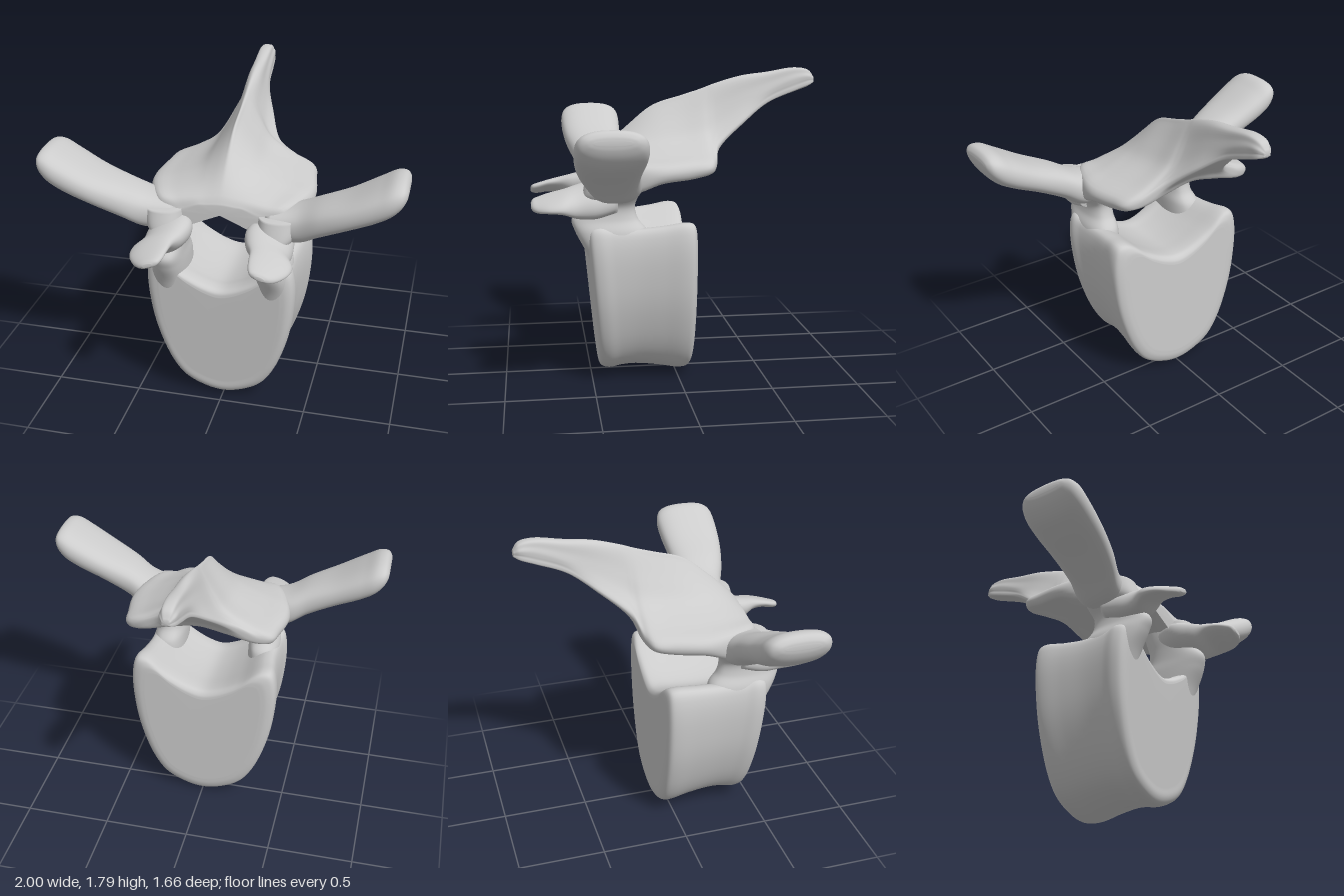
import * as THREE from 'three';

const material = new THREE.MeshStandardMaterial({ color: 0xcccccc });
const V = (x, y, z) => new THREE.Vector3(x, y, z);

// Smooth skin through a few closed rings of control points, capped at both ends.
function loft(name, rings, around = 48, along = 48) {
  const loops = rings.map((r) => new THREE.CatmullRomCurve3(r, true, 'centripetal'));
  const columns = [];
  for (let i = 0; i < around; i++) {
    const pts = loops.map((c) => c.getPoint(i / around));
    columns.push(new THREE.CatmullRomCurve3(pts, false, 'centripetal'));
  }
  const pos = [], index = [];
  for (let j = 0; j <= along; j++) {
    for (const c of columns) pos.push(...c.getPoint(j / along).toArray());
  }
  for (let j = 0; j < along; j++) {
    for (let i = 0; i < around; i++) {
      const n = (i + 1) % around;
      const a = j * around + i, b = j * around + n;
      index.push(a, b, a + around, b, b + around, a + around);
    }
  }
  // End caps
  for (const j of [0, along]) {
    const mid = V(0, 0, 0);
    for (const c of columns) mid.addScaledVector(c.getPoint(j / along), 1 / around);
    const centre = pos.length / 3;
    pos.push(mid.x, mid.y, mid.z);
    for (let i = 0; i < around; i++) {
      const a = j * around + i, b = j * around + ((i + 1) % around);
      if (j === 0) index.push(centre, b, a);
      else index.push(centre, a, b);
    }
  }
  // Turn the faces outwards, whichever way the rings run
  const P = (i) => V(pos[3 * i], pos[3 * i + 1], pos[3 * i + 2]);
  let volume = 0;
  for (let k = 0; k < index.length; k += 3) {
    volume += P(index[k]).dot(P(index[k + 1]).cross(P(index[k + 2])));
  }
  if (volume < 0) index.reverse();

  const geo = new THREE.BufferGeometry();
  geo.setAttribute('position', new THREE.Float32BufferAttribute(pos, 3));
  geo.setIndex(index);
  geo.computeVertexNormals();
  const mesh = new THREE.Mesh(geo, material);
  mesh.name = name;
  return mesh;
}

// Ring of points from a rounded-square oval; place(u, v) puts it in space.
function oval(ru, rv, place, power = 0.8) {
  const pts = [];
  for (let i = 0; i < 16; i++) {
    const t = (i / 16) * Math.PI * 2, c = Math.cos(t), s = Math.sin(t);
    pts.push(place(ru * Math.sign(c) * Math.abs(c) ** power, rv * Math.sign(s) * Math.abs(s) ** power));
  }
  return pts;
}

// Full symmetrical outline from its +x half (first and last points lie on x = 0)
const mirrorOutline = (half) => [...half, ...half.slice(1, -1).reverse().map(([x, y]) => [-x, y])];

// Shield-shaped body with a notched top and a slight waist
function body() {
  const outline = mirrorOutline([
    [0, 0.77], [0.1, 0.795], [0.22, 0.86], [0.34, 0.945], [0.405, 0.94], [0.435, 0.84], [0.425, 0.6],
    [0.385, 0.4], [0.31, 0.2], [0.23, 0.09], [0.11, 0.025], [0, 0.004],
  ]);
  const sections = [
    [-0.09, 0.8], [-0.085, 0.9], [-0.065, 0.98], [-0.02, 1], [0.1, 0.96], [0.24, 0.93],
    [0.36, 0.94], [0.43, 0.965], [0.475, 0.94], [0.493, 0.88], [0.497, 0.78],
  ];
  return loft('body', sections.map(([z, s]) => outline.map(([x, y]) => {
    const lean = z > 0.3 ? (y - 0.55) * 0.07 : 0;
    return V(x * s, 0.5 + (y - 0.5) * s, z + lean);
  })), 96, 50);
}

// Roof of the arch, narrowing backwards into the spine
function archAndSpine() {
  // z, ridge y, ridge half width, middle x, middle y, edge x, edge top, edge bottom, underside
  const sections = [
    [0.46, 1.26, 0.03, 0.12, 1.25, 0.26, 1.2, 1.1, 1.21],
    [0.43, 1.31, 0.03, 0.15, 1.29, 0.36, 1.26, 1.08, 1.22],
    [0.25, 1.48, 0.025, 0.17, 1.36, 0.45, 1.27, 1.13, 1.23],
    [0.12, 1.58, 0.02, 0.18, 1.38, 0.47, 1.27, 1.18, 1.25],
    [-0.05, 1.635, 0.02, 0.17, 1.4, 0.445, 1.28, 1.2, 1.27],
    [-0.16, 1.67, 0.025, 0.16, 1.42, 0.42, 1.285, 1.225, 1.3],
    [-0.2, 1.685, 0.025, 0.14, 1.43, 0.34, 1.3, 1.25, 1.31],
    [-0.24, 1.7, 0.025, 0.11, 1.47, 0.2, 1.38, 1.34, 1.36],
    [-0.4, 1.745, 0.03, 0.075, 1.58, 0.115, 1.51, 1.48, 1.47],
    [-0.55, 1.765, 0.03, 0.055, 1.66, 0.06, 1.62, 1.59, 1.585],
    [-0.72, 1.79, 0.03, 0.048, 1.73, 0.05, 1.69, 1.66, 1.65],
    [-0.8, 1.775, 0.025, 0.042, 1.74, 0.042, 1.715, 1.69, 1.68],
    [-0.832, 1.735, 0.012, 0.02, 1.725, 0.02, 1.715, 1.705, 1.7],
  ];
  return loft('archAndSpine', sections.map(([z, ridge, a, mx, my, w, top, bottom, under]) =>
    mirrorOutline([
      [0, ridge], [a, ridge - 0.12 * (ridge - my)], [(a + mx) / 2, ridge * 0.4 + my * 0.6], [mx, my],
      [(mx + w) / 2, my * 0.4 + top * 0.6], [w * 0.96, top], [w, (top + bottom) / 2], [w * 0.95, bottom],
      [w * 0.5, (bottom + under) / 2], [0, under],
    ]).map(([x, y]) => V(x, y, z))), 80, 72);
}

// Column joining the body to the arch: y, x, z, half width, half depth
function pedicle(side) {
  const sections = [
    [0.6, 0.28, 0.37, 0.07, 0.1], [0.78, 0.3, 0.36, 0.1, 0.17], [0.9, 0.295, 0.39, 0.095, 0.2],
    [0.97, 0.285, 0.425, 0.08, 0.185], [1.04, 0.285, 0.41, 0.08, 0.155], [1.12, 0.31, 0.39, 0.11, 0.16],
    [1.22, 0.32, 0.36, 0.12, 0.16],
  ];
  return loft('pedicle', sections.map(([y, x, z, rx, rz]) =>
    oval(rx, rz, (u, v) => V(side * (x + u), y, z + v))));
}

// Wing reaching out and up: x, y, z, half thickness, half depth
function transverseProcess(side) {
  const sections = [
    [0.25, 1.17, 0.38, 0.07, 0.1], [0.42, 1.175, 0.37, 0.1, 0.14], [0.55, 1.24, 0.405, 0.095, 0.155],
    [0.7, 1.31, 0.425, 0.09, 0.175], [0.85, 1.385, 0.43, 0.098, 0.188], [0.93, 1.43, 0.43, 0.095, 0.185],
    [0.975, 1.455, 0.43, 0.068, 0.165], [0.995, 1.465, 0.43, 0.035, 0.13], [1, 1.467, 0.43, 0.01, 0.09],
  ];
  return loft('transverseProcess', sections.map(([x, y, z, ry, rz]) =>
    oval(ry, rz, (u, v) => V(side * x, y + u, z + v))));
}

// Thin paddle pointing forwards, outer edge lower: z, x, y, half width, half thickness
function frontProcess(side) {
  const sections = [
    [0.36, 0.3, 1.1, 0.1, 0.08], [0.48, 0.28, 1.08, 0.13, 0.09], [0.58, 0.29, 1.07, 0.12, 0.075],
    [0.66, 0.325, 1.075, 0.115, 0.045], [0.73, 0.325, 1.07, 0.105, 0.032], [0.79, 0.31, 1.06, 0.08, 0.028],
    [0.82, 0.3, 1.058, 0.055, 0.022], [0.832, 0.3, 1.057, 0.025, 0.01],
  ];
  return loft('frontProcess', sections.map(([z, x, y, rx, ry]) =>
    oval(rx, ry, (u, v) => V(side * (x + u), y + v - 0.3 * u, z), 0.9)));
}

export function createModel() {
  const model = new THREE.Group();
  model.name = 'vertebra';
  model.add(body(), archAndSpine());
  for (const [label, side] of [['left', 1], ['right', -1]]) {
    const half = new THREE.Group();
    half.name = label + 'Side';
    half.add(pedicle(side), transverseProcess(side), frontProcess(side));
    model.add(half);
  }
  return model;
}
